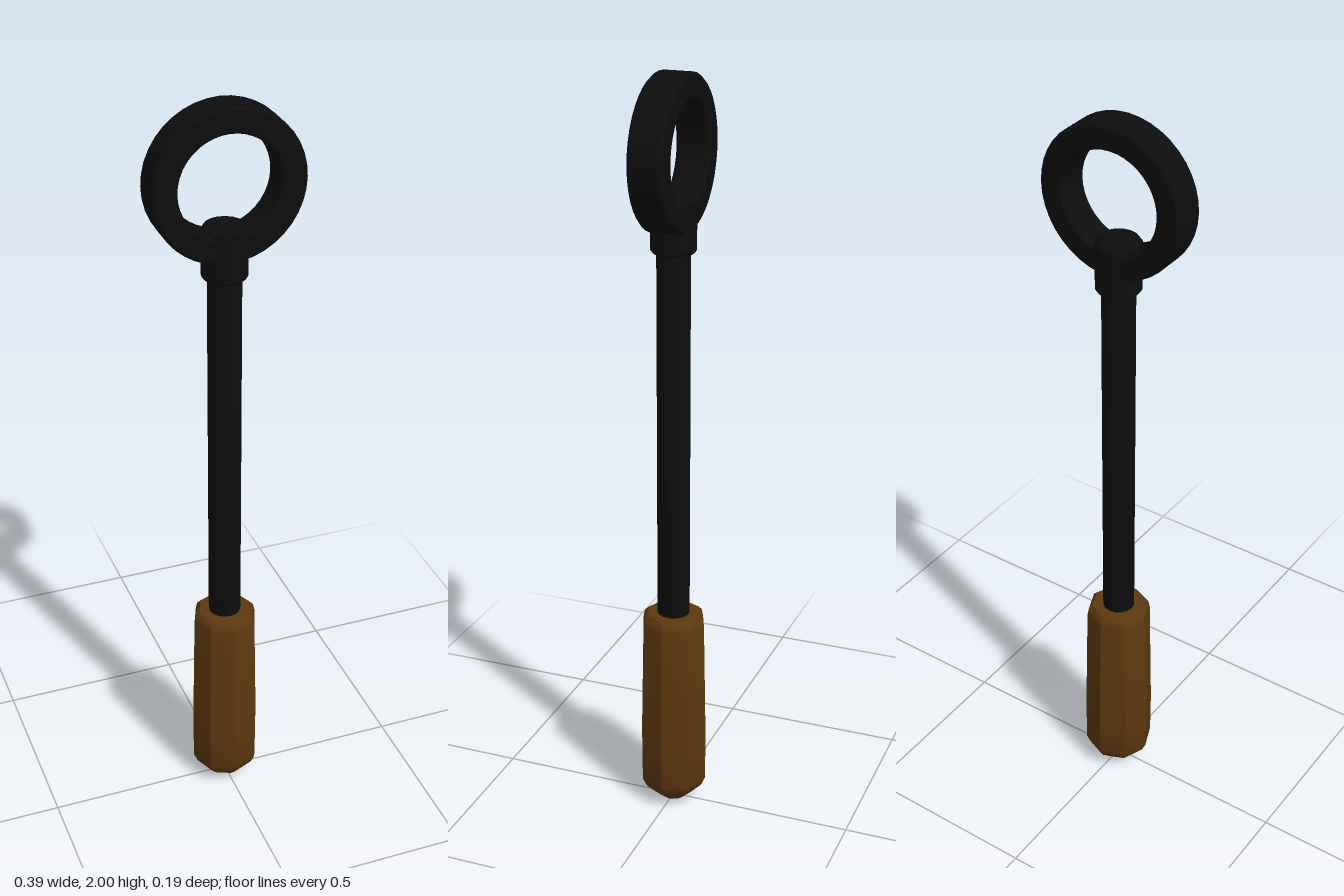
import * as THREE from 'three';
import { toCreasedNormals } from 'three/addons/utils/BufferGeometryUtils.js';

const iron = new THREE.MeshStandardMaterial({ color: 0x0d0d0d });
iron.name = 'black iron';
const wood = new THREE.MeshStandardMaterial({ color: 0x5c3810 });
wood.name = 'brown wood';

// Turned part from [radius, height] pairs, listed from bottom to top
function turned(name, profile, sides, material, crease) {
  const points = profile.map(([r, y]) => new THREE.Vector2(r, y));
  const geometry = toCreasedNormals(new THREE.LatheGeometry(points, sides), crease);
  const mesh = new THREE.Mesh(geometry, material);
  mesh.name = name;
  return mesh;
}

export function createModel() {
  const group = new THREE.Group();
  group.name = 'ringTool';

  // Octagonal grip with a tapered butt and chamfered top
  group.add(turned('handle', [
    [0, 0], [0.03, 0], [0.05, 0.015], [0.082, 0.047], [0.093, 0.072],
    [0.094, 0.2], [0.087, 0.54], [0.083, 0.56], [0.073, 0.57], [0, 0.57],
  ], 8, wood, 0.6));

  // Long straight rod
  group.add(turned('shaft', [[0, 0.55], [0.043, 0.55], [0.043, 1.6], [0, 1.6]], 16, iron, 0.6));

  // Socket joining the rod to the ring
  group.add(turned('collar', [
    [0, 1.56], [0.053, 1.56], [0.058, 1.566], [0.058, 1.685], [0.05, 1.696], [0, 1.696],
  ], 16, iron, 0.6));

  // Flat-banded ring with small bevels, facing the front
  const ring = turned('ring', [
    [0.13, -0.038], [0.137, -0.045], [0.188, -0.045], [0.195, -0.038],
    [0.195, 0.038], [0.188, 0.045], [0.137, 0.045], [0.13, 0.038], [0.13, -0.038],
  ], 40, iron, 0.6);
  ring.rotation.x = Math.PI / 2;
  ring.position.y = 1.805;
  group.add(ring);

  return group;
}
